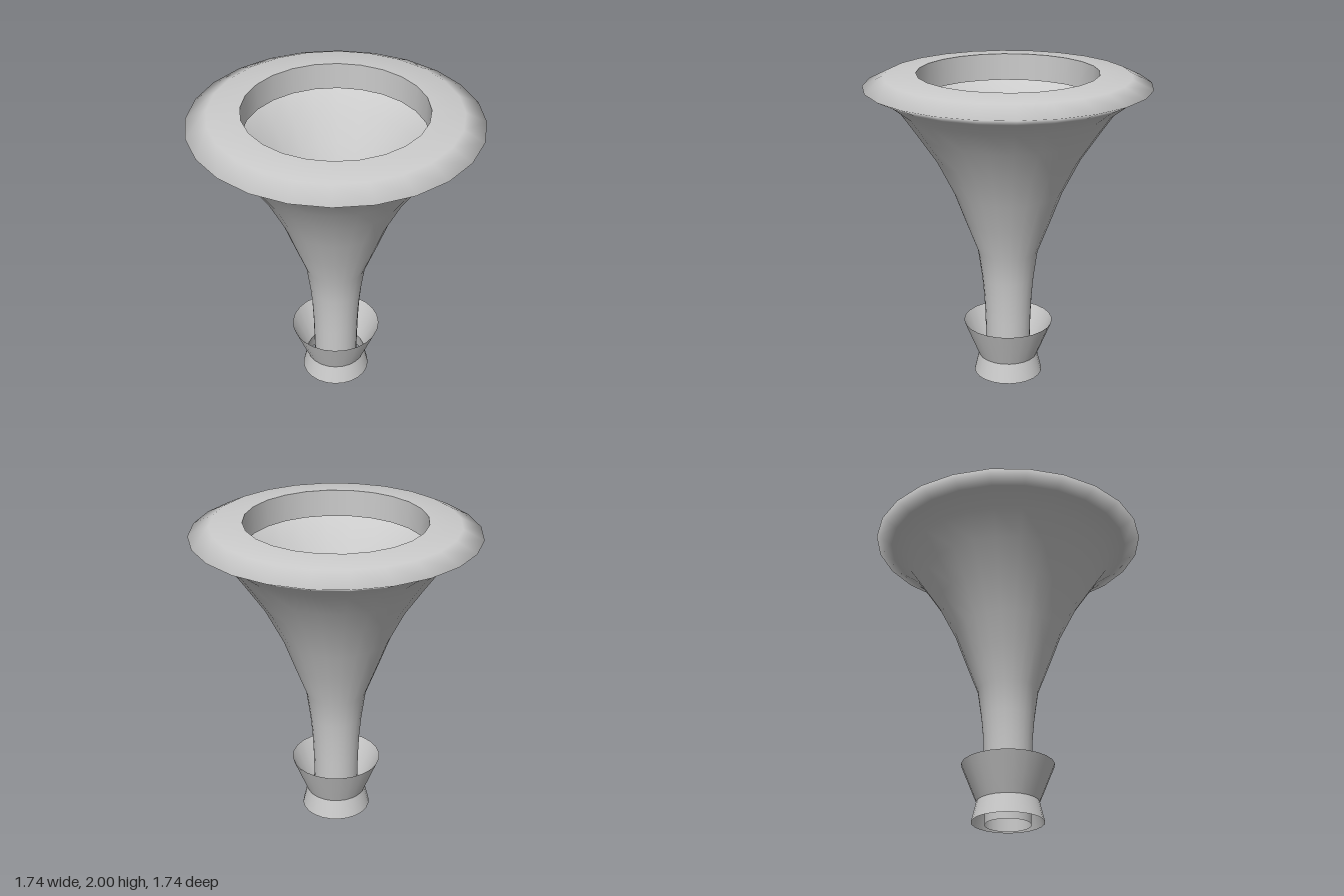
import * as THREE from 'three';

const SIDES = 24;
const material = new THREE.MeshStandardMaterial({ color: 0xcccccc, side: THREE.DoubleSide });

// Thin turned surface from [radius, height] pairs, smooth around the axis
function turned(name, profile) {
  const points = profile.map(([r, y]) => new THREE.Vector2(r, y));
  const mesh = new THREE.Mesh(new THREE.LatheGeometry(points, SIDES), material);
  mesh.name = name;
  return mesh;
}

export function createModel() {
  const model = new THREE.Group();
  model.name = 'horn';

  model.add(
    // Short pipe end at the very bottom
    turned('pipeEnd', [[0.14, 0], [0.14, 0.12]]),

    // Slender throat flaring into the bell and rolling over the rim
    turned('bell', [
      [0.14, 0.12], [0.146, 0.4], [0.153, 0.55], [0.165, 0.68], [0.19, 0.86],
      [0.27, 1.07], [0.34, 1.26], [0.45, 1.48], [0.56, 1.645], [0.66, 1.79],
      [0.77, 1.875], [0.87, 1.925], [0.745, 1.985], [0.55, 2.0],
    ]),

    // Lip dropping straight down inside the mouth
    turned('innerLip', [[0.55, 2.0], [0.55, 1.83]]),

    // Open collar: a cup above a flared skirt, meeting at a sharp waist
    turned('collarCup', [[0.19, 0.14], [0.235, 0.25], [0.285, 0.375]]),
    turned('collarSkirt', [[0.22, 0.015], [0.19, 0.14]]),
  );

  return model;
}
